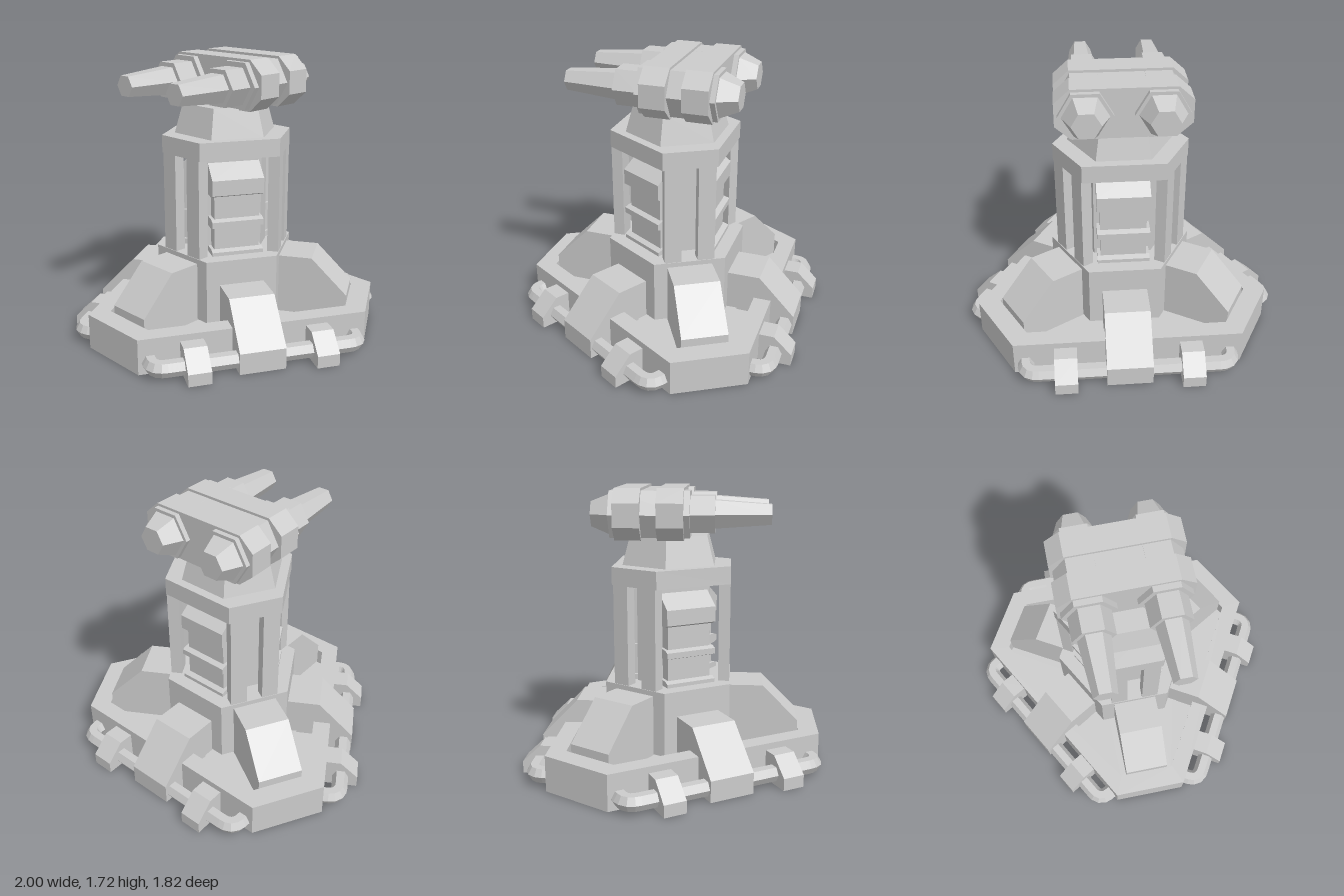
import * as THREE from 'three';

const mat = new THREE.MeshStandardMaterial({ color: 0xcccccc, flatShading: true });
const shellMat = new THREE.MeshStandardMaterial({ color: 0xcccccc, flatShading: true, side: THREE.DoubleSide });

function add(parent, name, geo, x = 0, y = 0, z = 0, material = mat) {
  const m = new THREE.Mesh(geo, material);
  m.name = name;
  m.position.set(x, y, z);
  parent.add(m);
  return m;
}

// Three-fold hexagon: short edges at distance d with half length h, one facing the front
function hexPoints(d, h) {
  const pts = [];
  for (let i = 0; i < 3; i++) {
    const a = (i * 2 * Math.PI) / 3;
    for (const s of [-h, h]) {
      pts.push(new THREE.Vector2(s * Math.cos(a) + d * Math.sin(a), s * Math.sin(a) - d * Math.cos(a)));
    }
  }
  return pts;
}

// Upright hexagonal prism from y0 to y1, with an optional top scale
function hexPrism(d, h, y0, y1, top = 1) {
  const shape = new THREE.Shape(hexPoints(d, h));
  const geo = new THREE.ExtrudeGeometry(shape, { depth: y1 - y0, bevelEnabled: false });
  geo.rotateX(-Math.PI / 2).translate(0, y0, 0);
  const p = geo.attributes.position;
  for (let i = 0; i < p.count; i++) {
    if (p.getY(i) > (y0 + y1) / 2) p.setXYZ(i, p.getX(i) * top, p.getY(i), p.getZ(i) * top);
  }
  geo.computeVertexNormals();
  return geo;
}

// Open skin through hexagonal loops given as [d, h, y]
function hexShell(loops) {
  const pos = [];
  const index = [];
  loops.forEach(([d, h, y], i) => {
    hexPoints(d, h).forEach((p, j) => {
      pos.push(p.x, y, -p.y);
      if (i === 0) return;
      const k = (j + 1) % 6;
      const low = (i - 1) * 6, high = i * 6;
      index.push(low + j, low + k, high + k, low + j, high + k, high + j);
    });
  });
  const geo = new THREE.BufferGeometry();
  geo.setAttribute('position', new THREE.Float32BufferAttribute(pos, 3));
  geo.setIndex(index);
  const flat = geo.toNonIndexed();
  flat.computeVertexNormals();
  return flat;
}

// Side profile of [outward, up] points, extruded across x and pointing to +z
function profile(points, width) {
  const shape = new THREE.Shape(points.map(([a, y]) => new THREE.Vector2(a, y)));
  const geo = new THREE.ExtrudeGeometry(shape, { depth: width, bevelEnabled: false });
  return geo.translate(0, 0, -width / 2).rotateY(-Math.PI / 2);
}

// Leaves out the faces resting on the ground, so the part is an open shell
function openBottom(geo) {
  const p = geo.attributes.position;
  const index = [];
  for (let i = 0; i < p.count; i += 3) {
    if (Math.max(p.getY(i), p.getY(i + 1), p.getY(i + 2)) > 0.001) index.push(i, i + 1, i + 2);
  }
  geo.setIndex(index);
  return geo;
}

// Hexagonal bar along z with flat top and bottom
function hexBar(rFront, rBack, z0, z1) {
  const geo = new THREE.CylinderGeometry(rFront, rBack, z1 - z0, 6);
  return geo.rotateY(Math.PI / 6).rotateX(Math.PI / 2).translate(0, 0, (z0 + z1) / 2);
}

// Six-sided handrail with rounded corners, ends running into the rim
function railGeometry() {
  const x = 0.628, z = 0.763, r = 0.075, y = 0.072;
  const v = (a, b) => new THREE.Vector3(a, y, b);
  const path = new THREE.CurvePath();
  path.add(new THREE.LineCurve3(v(-x, 0.64), v(-x, z - r)));
  path.add(new THREE.QuadraticBezierCurve3(v(-x, z - r), v(-x, z), v(-x + r, z)));
  path.add(new THREE.LineCurve3(v(-x + r, z), v(x - r, z)));
  path.add(new THREE.QuadraticBezierCurve3(v(x - r, z), v(x, z), v(x, z - r)));
  path.add(new THREE.LineCurve3(v(x, z - r), v(x, 0.64)));
  const section = [];
  for (let i = 0; i < 6; i++) {
    const a = ((i + 0.5) * Math.PI) / 3;
    section.push(new THREE.Vector2(0.05 * Math.cos(a), 0.05 * Math.sin(a)));
  }
  return new THREE.ExtrudeGeometry(new THREE.Shape(section), { steps: 50, extrudePath: path });
}

export function createModel() {
  const model = new THREE.Group();
  model.name = 'turret';
  const body = new THREE.Group();
  body.name = 'body';
  body.position.z = -0.04;
  model.add(body);

  // Hollow base tray: outer wall, rim, inner wall, floor and central recess
  add(body, 'baseTray', hexShell([
    [0.94, 0.23, 0], [0.94, 0.23, 0.22], [0.815, 0.176, 0.22],
    [0.815, 0.176, 0.11], [0.32, 0.18, 0.11], [0.32, 0.18, 0.125],
  ]), 0, 0, 0, shellMat);
  add(body, 'plinth', hexPrism(0.385, 0.222, 0.125, 0.525));

  // Tower core, collar and cap
  add(body, 'towerCore', hexPrism(0.25, 0.075, 0.5, 1.145));
  add(body, 'collar', hexPrism(0.381, 0.165, 1.14, 1.25));
  add(body, 'cap', hexPrism(0.28, 0.16, 1.25, 1.43, 0.84));

  // Parts on the three short sides
  const wedge = profile([[0.3, 0.12], [0.813, 0.12], [0.813, 0.27], [0.59, 0.495], [0.3, 0.495]], 0.28);
  for (let i = 0; i < 3; i++) {
    const side = new THREE.Group();
    side.name = 'shortSide';
    side.rotation.y = (i * 2 * Math.PI) / 3;
    body.add(side);
    add(side, 'buttress', wedge);
    for (const s of [-1, 1]) {
      add(side, 'pillar', new THREE.BoxGeometry(0.105, 0.625, 0.07), s * 0.1025, 0.8325, 0.346);
    }
  }

  // Parts on the three long sides
  const leg = openBottom(profile([[0.45, 0], [0.82, 0], [0.82, 0.13], [0.59, 0.37], [0.36, 0.37], [0.36, 0.12], [0.45, 0.12]], 0.28));
  const clip = openBottom(profile([[0.64, 0], [0.87, 0], [0.87, 0.075], [0.76, 0.18], [0.64, 0.18]], 0.138));
  const drum = profile([[0.05, 0.52], [0.266, 0.52], [0.266, 0.92], [0.05, 0.92]], 0.285);
  const hood = profile([[0.05, 0.895], [0.266, 0.895], [0.3, 0.91], [0.3, 1.005], [0.12, 1.145], [0.05, 1.145]], 0.325);
  const rib = profile([[0.05, 0], [0.266, 0], [0.3, 0.012], [0.3, 0.048], [0.266, 0.06], [0.05, 0.06]], 0.325);
  const rail = railGeometry();
  for (let i = 0; i < 3; i++) {
    const side = new THREE.Group();
    side.name = 'longSide';
    side.rotation.y = Math.PI + (i * 2 * Math.PI) / 3;
    body.add(side);
    add(side, 'leg', leg, 0, 0, 0, shellMat);
    add(side, 'rail', rail);
    add(side, 'drum', drum);
    add(side, 'hood', hood);
    for (const y of [0.5, 0.695]) add(side, 'rib', rib, 0, y);
    for (const s of [-1, 1]) add(side, 'railClip', clip, s * 0.384, 0, 0, shellMat);
  }

  // Twin gun head
  const head = new THREE.Group();
  head.name = 'gunHead';
  head.position.y = 1.567;
  model.add(head);

  // Chamfered bands that hold both guns
  const band = new THREE.Shape([
    [-0.3, -0.152], [0.3, -0.152], [0.39, -0.07], [0.39, 0.07],
    [0.3, 0.152], [-0.3, 0.152], [-0.39, 0.07], [-0.39, -0.07],
  ].map(([x, y]) => new THREE.Vector2(x, y)));
  for (const z of [-0.345, -0.093]) {
    add(head, 'band', new THREE.ExtrudeGeometry(band, { depth: 0.157, bevelEnabled: false }), 0, 0, z);
  }
  add(head, 'bridge', new THREE.BoxGeometry(0.43, 0.272, 0.3), 0, 0, -0.14);

  for (const s of [-1, 1]) {
    const gun = new THREE.Group();
    gun.name = 'gun';
    gun.position.x = s * 0.215;
    head.add(gun);
    add(gun, 'housing', hexBar(0.158, 0.158, -0.375, 0.1));
    add(gun, 'frontCollar', hexBar(0.124, 0.124, 0.09, 0.245));
    add(gun, 'rearCone', hexBar(0.138, 0.085, -0.488, -0.37));
    add(gun, 'barrel', hexBar(0.068, 0.095, 0.24, 0.574));
  }
  return model;
}
